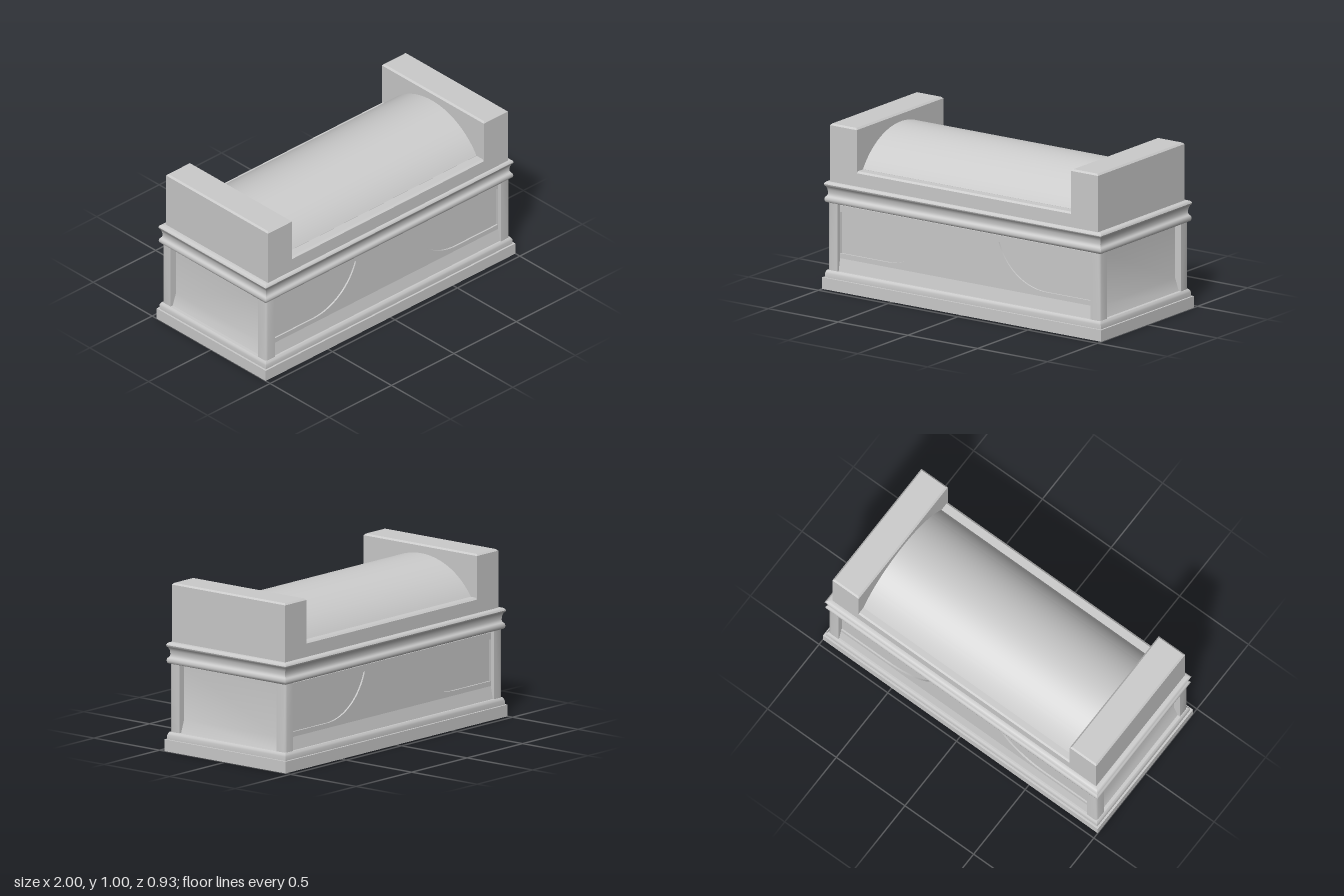
import * as THREE from 'three';
import { toCreasedNormals } from 'three/addons/utils/BufferGeometryUtils.js';

const material = new THREE.MeshStandardMaterial({ color: 0xcccccc, side: THREE.DoubleSide });
const CORNERS = [[1, 1], [1, -1], [-1, -1], [-1, 1]];

// Sweeps a profile of [inset, y] points round a rectangle of half sizes hx, hz.
function rectLoft(hx, hz, profile, capped = false) {
  const pos = [];
  const point = (i, j) => {
    const [sx, sz] = CORNERS[i % 4], [inset, y] = profile[j];
    return [sx * (hx - inset), y, sz * (hz - inset)];
  };
  const quad = (a, b, c, d) => pos.push(...a, ...b, ...c, ...a, ...c, ...d);
  for (let j = 0; j < profile.length - 1; j++)
    for (let i = 0; i < 4; i++)
      quad(point(i, j), point(i + 1, j), point(i + 1, j + 1), point(i, j + 1));
  if (capped) {
    const t = profile.length - 1;
    quad(point(0, t), point(1, t), point(2, t), point(3, t));
  }
  const geometry = new THREE.BufferGeometry();
  geometry.setAttribute('position', new THREE.Float32BufferAttribute(pos, 3));
  return toCreasedNormals(geometry, 0.7);
}

// Open sheet: a polyline of [x, y] points drawn out along z.
function sheet(points, depth) {
  const n = points.length, geometry = new THREE.PlaneGeometry(1, 1, n - 1, 1);
  for (let i = 0; i < 2 * n; i++)
    geometry.attributes.position.setXYZ(i, ...points[i % n], i < n ? depth / 2 : -depth / 2);
  return toCreasedNormals(geometry, 0.9);
}

export function createModel() {
  const model = new THREE.Group();
  const add = (name, geometry, x = 0, y = 0, z = 0) => {
    const mesh = new THREE.Mesh(geometry, material);
    mesh.name = name;
    mesh.position.set(x, y, z);
    model.add(mesh);
    return mesh;
  };
  const HX = 1, HZ = 0.463;

  // Plinth and cornice mouldings
  add('plinth', rectLoft(HX, HZ, [
    [0, 0], [0, 0.07], [0.012, 0.07], [0.012, 0.095], [0.015, 0.105], [0.022, 0.115], [0.045, 0.115],
  ]));
  add('cornice', rectLoft(HX, HZ, [
    [0.045, 0.523], [0.018, 0.523], [0.012, 0.528], [0.009, 0.541],
    [0.012, 0.555], [0.018, 0.561], [0.023, 0.568], [0.025, 0.58], [0.023, 0.6], [0.016, 0.619],
    [0.01, 0.623], [0.007, 0.633], [0.011, 0.642], [0.018, 0.648], [0.04, 0.65],
  ], true));

  // Hollow corner pillars with a softened outer corner and returns to the walls
  const pillar = sheet([
    [0.905, 0.4], [0.905, 0.44], [0.96, 0.44], [0.971, 0.436], [0.975, 0.425], [0.975, 0.37], [0.93, 0.37],
  ], 0.412).rotateX(Math.PI / 2);
  for (const [sx, sz] of CORNERS) add('cornerPillar', pillar, 0, 0.319, 0).scale.set(sx, 1, sz);

  // Walls between the pillars, with sloped skirting and a bevel under the cornice
  const endWall = sheet([[0.958, 0.115], [0.932, 0.19], [0.932, 0.51], [0.958, 0.523]], 0.74);
  const longWall = sheet([
    [0.43, 0.115], [0.415, 0.19], [0.405, 0.19], [0.405, 0.51], [0.43, 0.523],
  ], 1.81).rotateY(-Math.PI / 2);

  // Long wall facing, cut by two sunken panels with a curved inner end
  const facing = new THREE.Shape();
  facing.moveTo(-0.905, 0.19);
  facing.lineTo(0.905, 0.19);
  facing.lineTo(0.905, 0.51);
  facing.lineTo(-0.905, 0.51);
  for (const s of [-1, 1]) {
    const arc = new THREE.Path().absarc(0.57, 0.576, 0.356, Math.PI + 0.302, Math.PI * 1.5, false);
    const outline = [...arc.getPoints(16), new THREE.Vector2(0.903, 0.22), new THREE.Vector2(0.903, 0.47)];
    facing.holes.push(new THREE.Path(outline.map((p) => new THREE.Vector2(s * p.x, p.y))));
  }
  const facingGeometry = new THREE.ExtrudeGeometry(facing, { depth: 0.01, bevelEnabled: false })
    .translate(0, 0, 0.405);
  for (const s of [-1, 1]) {
    add('endWall', endWall).scale.x = s;
    add('longWall', longWall).scale.z = s;
    add('longWallFacing', facingGeometry).scale.z = s;
  }

  // Barrel lid rising from a flat ledge; the section runs along z and y
  const R = 0.451, half = Math.asin(0.378 / R), section = new THREE.Shape();
  section.moveTo(-0.425, 0.65);
  section.lineTo(0.44, 0.65);
  section.lineTo(0.44, 0.73);
  section.lineTo(0.428, 0.74);
  section.lineTo(0.378, 0.74);
  section.absarc(0, 0.946 - R, R, Math.PI / 2 - half, Math.PI / 2 + half, false);
  section.lineTo(-0.415, 0.74);
  section.lineTo(-0.425, 0.73);
  const lid = new THREE.ExtrudeGeometry(section, { depth: 1.54, bevelEnabled: false, curveSegments: 40 });
  lid.rotateY(-Math.PI / 2).translate(0.77, 0, 0);
  add('barrelLid', toCreasedNormals(lid, 0.4));

  // Tall end blocks with a small chamfer round the top
  const block = rectLoft(0.096, 0.4325, [[0, 0.65], [0, 0.99], [0.01, 1]], true);
  for (const s of [-1, 1]) add('endBlock', block, s * 0.864, 0, 0.0075);

  return model;
}
